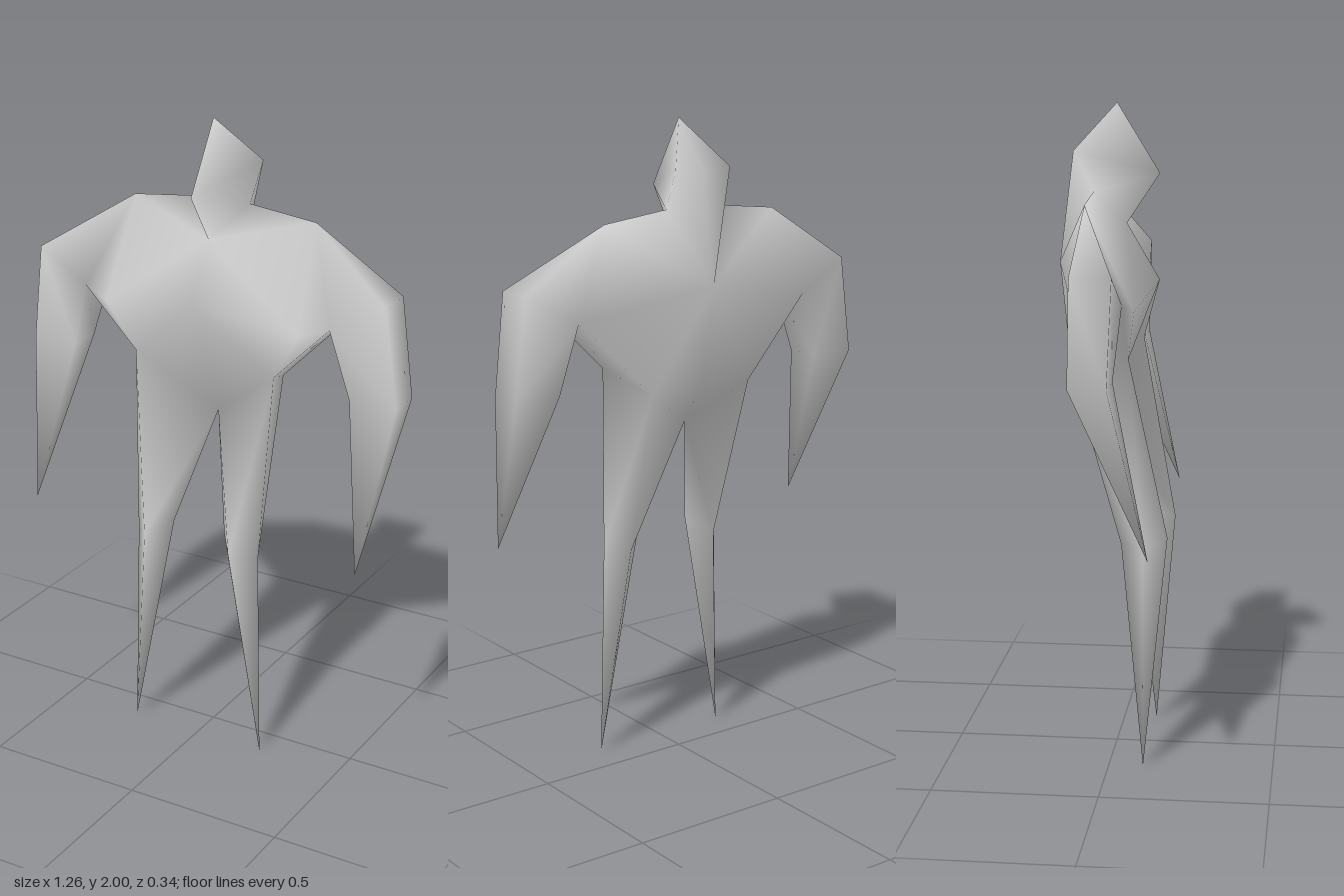
import * as THREE from 'three';

// Landmarks of the model's left half (x >= 0); x = 0 points lie on the seam
const P = {
  crown: [0, 2, 0], chin: [0, 1.79, 0.13], skull: [0.1, 1.86, -0.12], skullBack: [0, 1.86, -0.12],
  throat: [0, 1.64, 0.03], neck: [0.09, 1.74, -0.06],
  chest: [0, 1.47, 0.13], back: [0, 1.52, -0.175], pec: [0.33, 1.41, 0.085],
  shoulder: [0.31, 1.715, -0.06], pitF: [0.42, 1.44, 0.06], pitB: [0.42, 1.44, -0.085],
  armF: [0.59, 1.535, 0.05], armB: [0.59, 1.535, -0.07],
  elbowOF: [0.63, 1.23, 0.04], elbowOB: [0.63, 1.23, -0.07],
  elbowIF: [0.48, 1.23, 0.04], elbowIB: [0.48, 1.23, -0.07], hand: [0.567, 0.73, 0.15],
  hipF: [0.24, 1.26, 0.06], hipB: [0.18, 1.2, -0.115], waistB: [0, 1.2, -0.115], crotch: [0, 1.08, -0.03],
  kneeF: [0.15, 0.7, 0.17], kneeO: [0.215, 0.68, 0.1], kneeB: [0.16, 0.68, 0.03], kneeI: [0.09, 0.73, 0.09],
  foot: [0.23, 0, 0.105],
};

// Faces of each part, counter-clockwise from outside
const HEAD = ['crown chin skull', 'chin throat neck', 'chin neck skull',
  'crown skull skullBack', 'skullBack skull back', 'skull neck back'];
const TORSO = ['throat chest pec', 'throat pec shoulder', 'throat shoulder neck',
  'shoulder pec pitF', 'chest crotch hipF', 'chest hipF pec', 'pec hipF pitF',
  'neck shoulder back', 'shoulder pitB back', 'back pitB hipB',
  'back hipB waistB', 'waistB hipB crotch', 'hipF hipB pitB pitF'];
const ARM = ['shoulder pitF armF', 'shoulder armB pitB', 'shoulder armF armB',
  'pitF elbowIF elbowOF armF', 'pitB armB elbowOB elbowIB',
  'armF elbowOF elbowOB armB', 'pitB elbowIB elbowIF pitF',
  'elbowIF hand elbowOF', 'elbowOF hand elbowOB', 'elbowOB hand elbowIB', 'elbowIB hand elbowIF'];
const LEG = ['hipF kneeF kneeO', 'hipF kneeO hipB', 'hipB kneeO kneeB', 'hipB kneeB crotch',
  'crotch kneeB kneeI', 'crotch kneeI kneeF', 'crotch kneeF hipF',
  'kneeF foot kneeO', 'kneeO foot kneeB', 'kneeB foot kneeI', 'kneeI foot kneeF'];

export function createModel() {
  const group = new THREE.Group();
  const material = new THREE.MeshStandardMaterial({ color: 0xcccccc });

  // Shared vertices for both halves; seam points are used once
  const positions = [], left = {}, right = {};
  for (const [name, [x, y, z]] of Object.entries(P)) {
    left[name] = right[name] = positions.length / 3;
    positions.push(x, y, z);
    if (x > 0) {
      right[name] = positions.length / 3;
      positions.push(-x, y, z);
    }
  }

  // Triangle indices of a face list on one side, reversed for the mirrored side
  const indices = (faces, side) => faces.flatMap((face) => {
    const c = face.split(' ').map((n) => side[n]);
    if (side === right) c.reverse();
    return c.length === 4 ? [c[0], c[1], c[2], c[0], c[2], c[3]] : c;
  });

  const both = (faces) => [...indices(faces, left), ...indices(faces, right)];
  const parts = {
    head: both(HEAD), torso: both(TORSO),
    leftArm: indices(ARM, left), rightArm: indices(ARM, right),
    leftLeg: indices(LEG, left), rightLeg: indices(LEG, right),
  };

  // Smooth normals over the whole body, so the parts join without seams
  const body = new THREE.BufferGeometry();
  body.setAttribute('position', new THREE.Float32BufferAttribute(positions, 3));
  body.setIndex(Object.values(parts).flat());
  body.computeVertexNormals();

  for (const [name, index] of Object.entries(parts)) {
    const geometry = new THREE.BufferGeometry();
    geometry.setAttribute('position', body.attributes.position.clone());
    geometry.setAttribute('normal', body.attributes.normal.clone());
    geometry.setIndex(index);
    const mesh = new THREE.Mesh(geometry, material);
    mesh.name = name;
    group.add(mesh);
  }
  return group;
}
